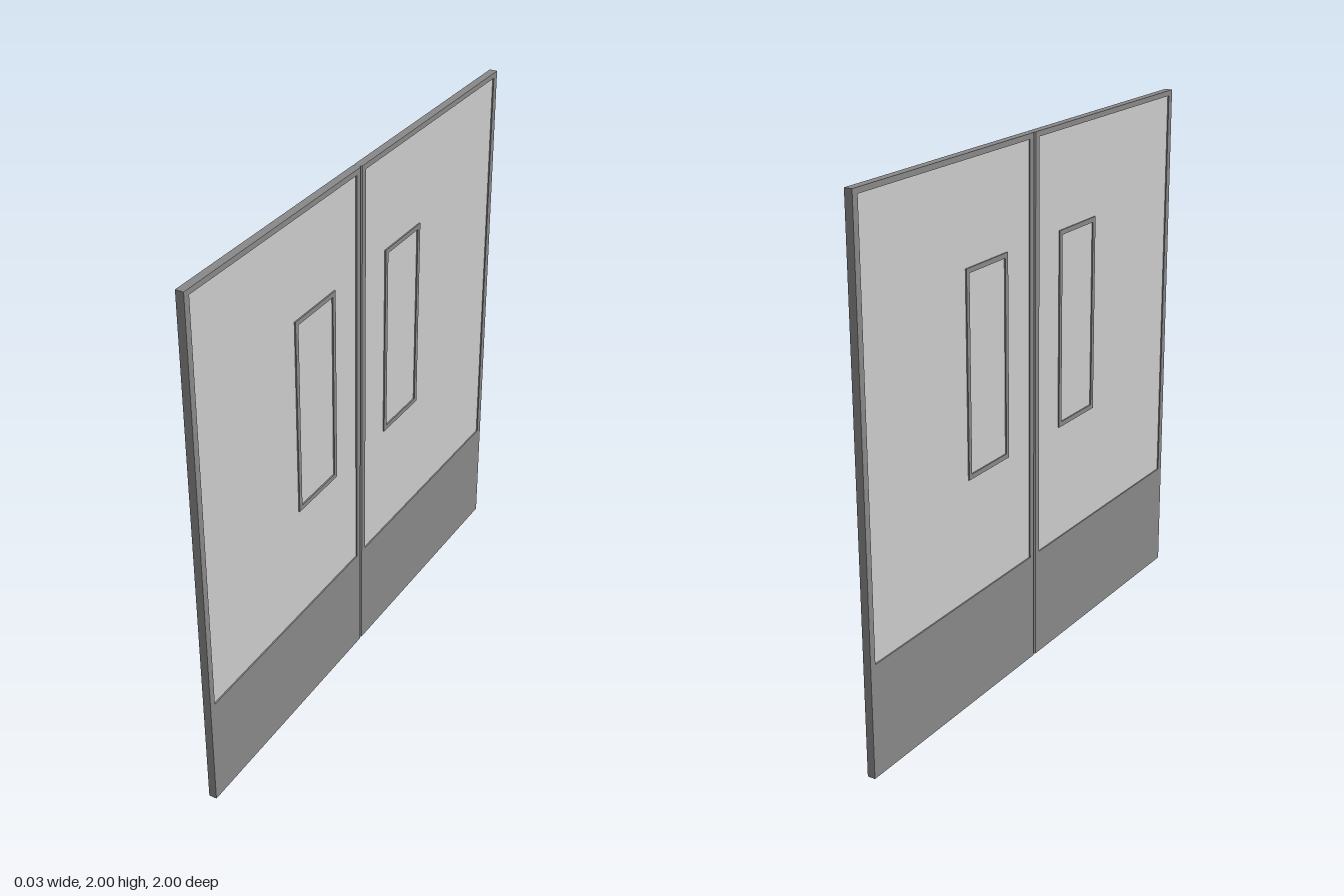
import * as THREE from 'three';

const T = 0.03; // leaf thickness
const PANEL_T = 0.02; // recessed panel thickness
const EDGE = 0.006; // chamfer on the meeting edges

const dark = new THREE.MeshStandardMaterial({ color: 0x888888, flatShading: true });
const light = new THREE.MeshStandardMaterial({ color: 0xcccccc, flatShading: true });

function rect(target, z0, z1, y0, y1) {
  target.moveTo(z0, y0);
  target.lineTo(z1, y0);
  target.lineTo(z1, y1);
  target.lineTo(z0, y1);
  target.closePath();
  return target;
}

// Rectangular border in the z-y plane, centred on x = 0
function border(name, outer, inner, thickness) {
  const shape = rect(new THREE.Shape(), ...outer);
  shape.holes.push(rect(new THREE.Path(), ...inner));
  const geo = new THREE.ExtrudeGeometry(shape, { depth: thickness, bevelEnabled: false });
  geo.translate(0, 0, -thickness / 2);
  geo.rotateY(-Math.PI / 2); // shape x becomes z
  const mesh = new THREE.Mesh(geo, dark);
  mesh.name = name;
  return mesh;
}

// Door leaf running from z = 0 to z = 1
function createLeaf() {
  const leaf = new THREE.Group();

  // Stiles, top rail and kick plate in one piece
  leaf.add(border('leafFrame', [EDGE, 1, 0, 2], [0.03, 0.975, 0.42, 1.98], T));

  // Chamfered meeting edge
  const h = T / 2;
  const section = new THREE.Shape([
    new THREE.Vector2(-h, -EDGE),
    new THREE.Vector2(h, -EDGE),
    new THREE.Vector2(h - EDGE, 0),
    new THREE.Vector2(EDGE - h, 0),
  ]);
  const edgeGeo = new THREE.ExtrudeGeometry(section, { depth: 2, bevelEnabled: false });
  edgeGeo.rotateX(-Math.PI / 2); // shape y becomes -z, depth becomes y
  const edge = new THREE.Mesh(edgeGeo, dark);
  edge.name = 'meetingEdge';
  leaf.add(edge);

  // Recessed panel
  const panel = new THREE.Mesh(new THREE.BoxGeometry(PANEL_T, 1.56, 0.945), light);
  panel.name = 'panel';
  panel.position.set(0, 1.2, 0.5025);
  leaf.add(panel);

  // Window trim on both faces
  leaf.add(border('windowTrim', [0.17, 0.42, 0.87, 1.62], [0.187, 0.403, 0.888, 1.602], T));
  return leaf;
}

export function createModel() {
  const model = new THREE.Group();
  model.name = 'doubleDoor';
  ['frontLeaf', 'backLeaf'].forEach((name, i) => {
    const leaf = createLeaf();
    leaf.name = name;
    leaf.rotation.y = i * Math.PI; // the leaf is symmetric in x
    model.add(leaf);
  });
  return model;
}
